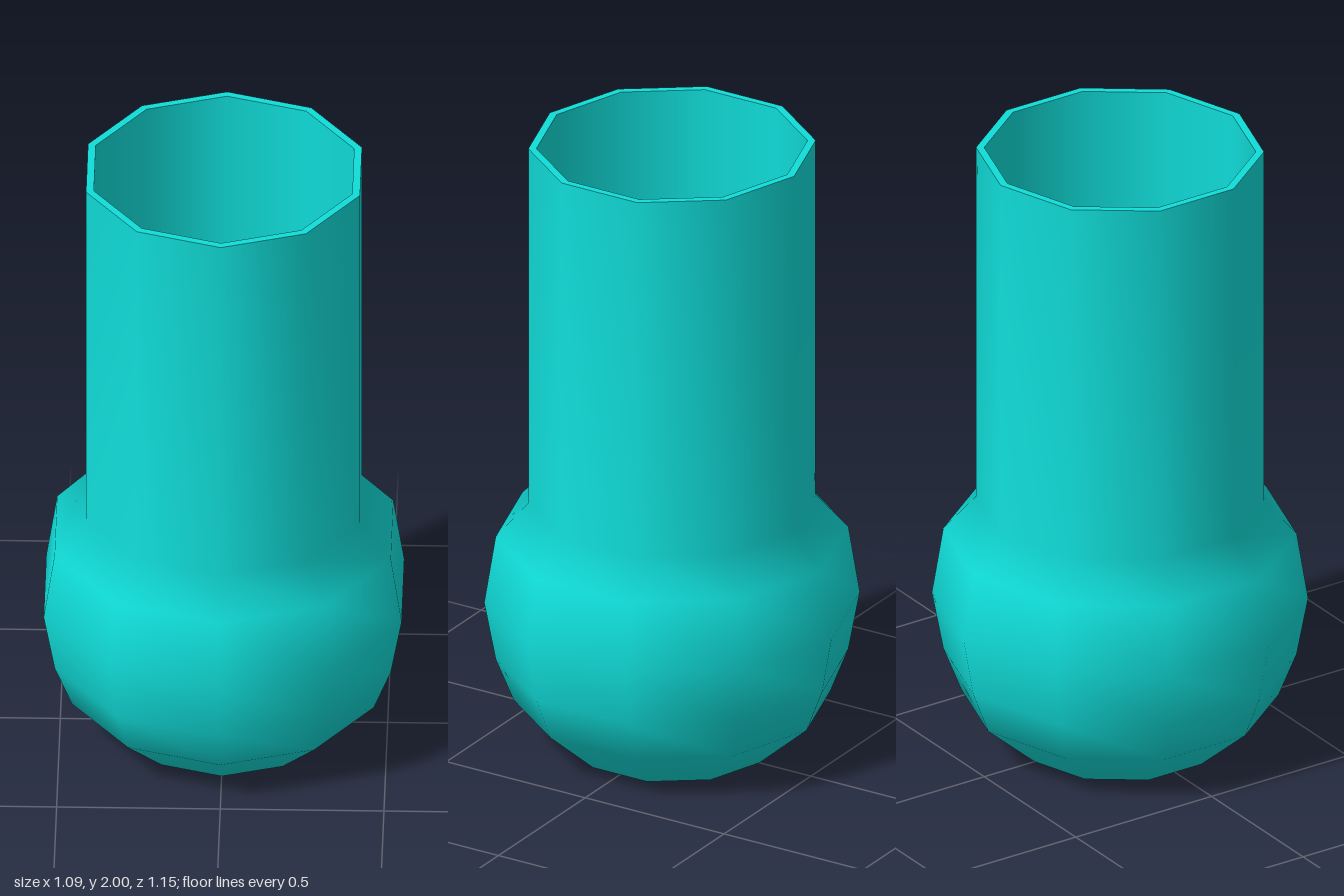
import * as THREE from 'three';

const SIDES = 10;

export function createModel() {
  const flask = new THREE.Group();
  flask.name = 'flask';
  const glass = new THREE.MeshStandardMaterial({ color: 0x10dcd8 });
  const liquid = new THREE.MeshStandardMaterial({ color: 0xd82ce0 });

  // Each profile is turned separately so the edges between parts stay sharp
  function turn(name, profile, material) {
    const points = profile.map(([r, y]) => new THREE.Vector2(r, y));
    const mesh = new THREE.Mesh(new THREE.LatheGeometry(points, SIDES), material);
    mesh.name = name;
    flask.add(mesh);
  }

  // Flat foot
  turn('base', [[0, 0], [0.315, 0]], glass);
  // Rounded bulb running smoothly into the straight neck
  turn('bulbAndNeck', [
    [0.315, 0], [0.485, 0.15], [0.54, 0.29], [0.575, 0.48],
    [0.54, 0.7], [0.44, 0.81], [0.44, 2],
  ], glass);
  // Thin rim and inside wall of the neck
  turn('rim', [[0.44, 2], [0.415, 2]], glass);
  turn('neckInside', [[0.415, 2], [0.415, 0.8]], glass);
  // Liquid surface at the bottom of the neck
  turn('liquid', [[0.415, 0.8], [0, 0.8]], liquid);

  return flask;
}
